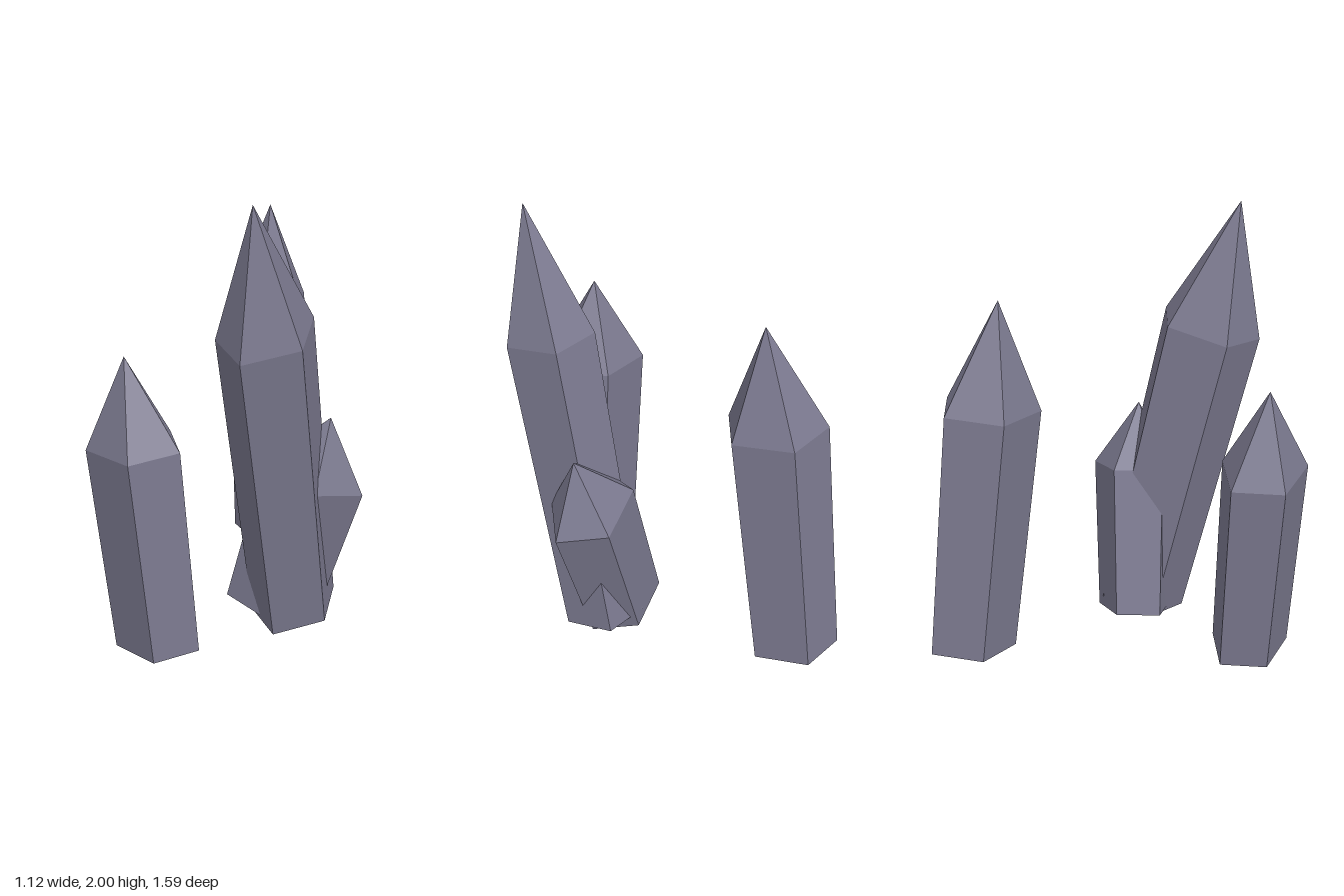
import * as THREE from 'three';

const SHOULDER = 0.7;    // where along the axis the point begins
const BASE_SCALE = 0.905; // the shaft narrows towards its foot

// A leaning five-sided shaft with a pointed tip. The ring lists the x, z
// offsets of the shoulder corners; both rings lie square to the axis.
function crystalGeometry(base, apex, ring) {
  const foot = new THREE.Vector3(...base);
  const tip = new THREE.Vector3(...apex);
  const axis = tip.clone().sub(foot);
  const corners = (t, scale) => {
    const centre = foot.clone().lerp(tip, t);
    return ring.map(([x, z]) => new THREE.Vector3(
      x, -(x * axis.x + z * axis.z) / axis.y, z,
    ).multiplyScalar(scale).add(centre));
  };
  const low = corners(0, BASE_SCALE);
  const high = corners(SHOULDER, 1);

  const points = [];
  ring.forEach((_, i) => {
    const j = (i + 1) % ring.length;
    points.push(low[i], high[i], low[j], high[i], high[j], low[j]); // shaft
    points.push(high[i], tip, high[j]); // point
    points.push(foot, low[i], low[j]);  // underside
  });
  const geometry = new THREE.BufferGeometry().setFromPoints(points);
  geometry.computeVertexNormals();
  return geometry;
}

export function createModel() {
  const group = new THREE.Group();
  group.name = 'crystalCluster';
  const stone = new THREE.MeshStandardMaterial({ color: 0x7c7a90, flatShading: true });
  stone.name = 'greyVioletStone';

  const crystals = [
    {
      name: 'rightCrystal', base: [-0.276, 0.045, 0.58], apex: [-0.4, 1.34, 0.59],
      ring: [[0.128, -0.138], [0.198, 0.102], [0, 0.207], [-0.2, 0.022], [-0.122, -0.193]],
    },
    {
      name: 'tallCrystal', base: [0.276, 0.065, 0.245], apex: [0.121, 2, 0.641],
      ring: [[0.182, -0.132], [0.152, 0.118], [-0.088, 0.208], [-0.206, 0.01], [-0.038, -0.202]],
    },
    {
      name: 'backCrystal', base: [0.108, 0.045, -0.604], apex: [0.108, 1.68, -0.44],
      ring: [[0.142, -0.15], [0.165, 0.12], [-0.038, 0.22], [-0.188, 0.015], [-0.078, -0.217]],
    },
    {
      name: 'smallCrystal', base: [0.165, 0.06, 0.21], apex: [0.422, 0.98, 0.29],
      ring: [[0.137, -0.166], [0.217, 0.05], [0.02, 0.17], [-0.204, 0.044], [-0.123, -0.158]],
    },
  ];
  for (const { name, base, apex, ring } of crystals) {
    const mesh = new THREE.Mesh(crystalGeometry(base, apex, ring), stone);
    mesh.name = name;
    group.add(mesh);
  }
  return group;
}
